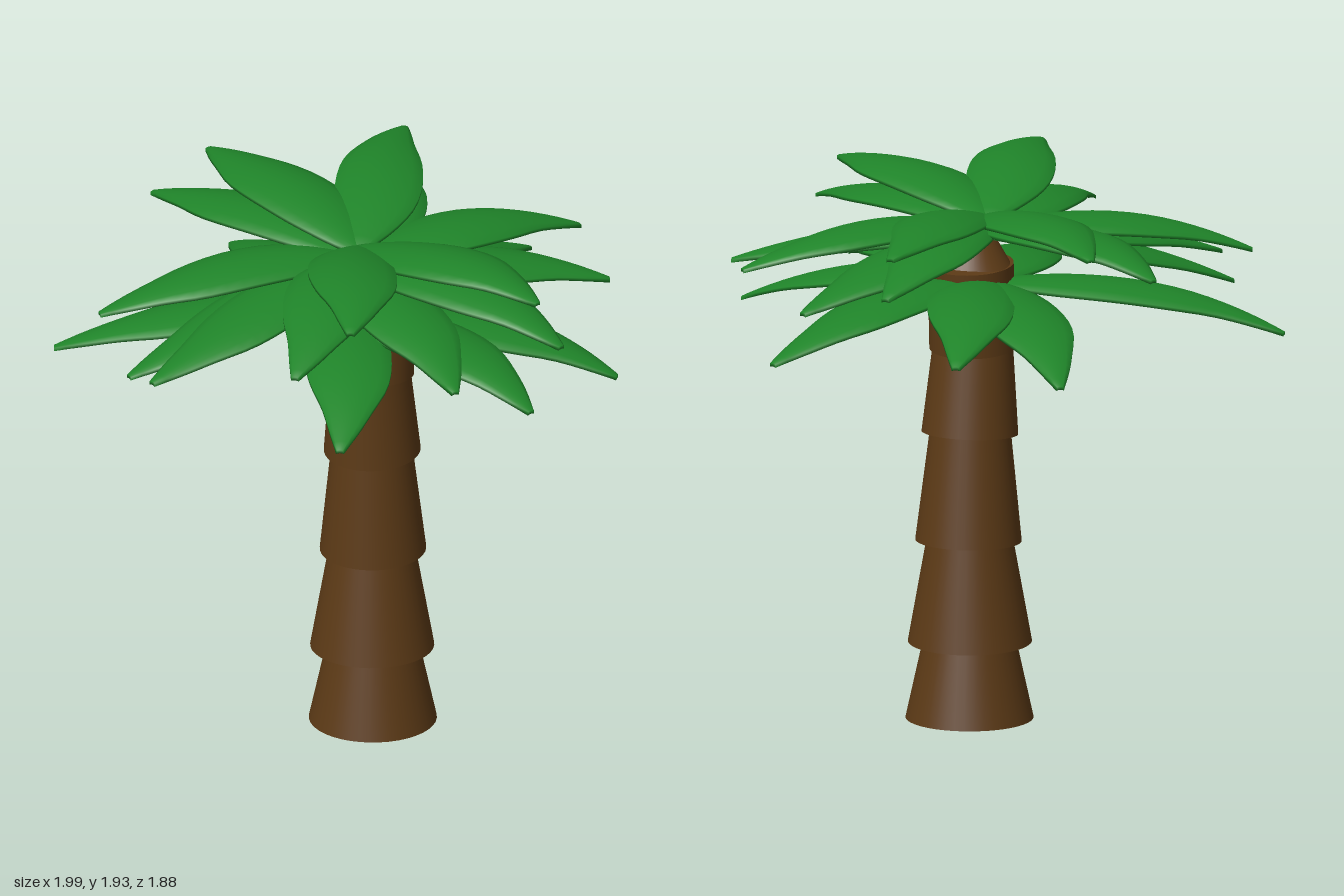
import * as THREE from 'three';

const bark = new THREE.MeshStandardMaterial({ color: 0x5c3a16 });
const green = new THREE.MeshStandardMaterial({ color: 0x1f8429, side: THREE.DoubleSide });

// Tapered trunk piece running between two centres
function trunkPiece(name, a, b, rBottom, rTop) {
  const from = new THREE.Vector3(...a), to = new THREE.Vector3(...b);
  const axis = to.clone().sub(from);
  const mesh = new THREE.Mesh(new THREE.CylinderGeometry(rTop, rBottom, axis.length(), 40), bark);
  mesh.position.copy(from).add(to).multiplyScalar(0.5);
  mesh.quaternion.setFromUnitVectors(new THREE.Vector3(0, 1, 0), axis.normalize());
  mesh.name = name;
  return mesh;
}

// Half width of a frond along its length
const outline = new THREE.CatmullRomCurve3([
  [0, 0.04], [0.13, 0.1], [0.28, 0.143], [0.46, 0.155], [0.63, 0.137], [0.78, 0.09], [0.9, 0.052], [1, 0.014],
].map(([t, w]) => new THREE.Vector3(t, w, 0)));

// Arched frond with drooping edges, a thin closed shell swept from root to tip
function frond(root, tip, arch) {
  const rows = 18, cols = 8, ring = 2 * (cols + 1), thick = 0.012;
  const along = new THREE.Vector3(tip.x - root.x, 0, tip.z - root.z).normalize();
  const side = new THREE.Vector3(-along.z, 0, along.x);
  const pos = [], index = [];
  for (let i = 0; i <= rows; i++) {
    const p = outline.getPoint(i / rows), t = p.x;
    const mid = root.clone().lerp(tip, t);
    mid.y += 4 * arch * t * (1 - t);
    mid.addScaledVector(side, 0.015 * Math.sin(t * Math.PI * 2));
    for (let k = 0; k < ring; k++) {
      const under = k > cols;
      const s = (under ? ring - 1 - k : k) / cols * 2 - 1;
      const v = mid.clone().addScaledVector(side, s * p.y);
      v.y -= 0.22 * p.y * s * s + (under ? thick : 0);
      pos.push(v.x, v.y, v.z);
    }
  }
  for (let i = 0; i < rows; i++) {
    for (let k = 0; k < ring; k++) {
      const a = i * ring + k, b = i * ring + (k + 1) % ring;
      index.push(a, b, a + ring, b, b + ring, a + ring);
    }
  }
  // Close the root and the tip
  for (let k = 0; k < cols; k++) {
    const a = k, b = k + 1, c = ring - 2 - k, d = ring - 1 - k, o = rows * ring;
    index.push(a, d, b, b, d, c, a + o, b + o, d + o, b + o, c + o, d + o);
  }
  const g = new THREE.BufferGeometry();
  g.setAttribute('position', new THREE.Float32BufferAttribute(pos, 3));
  g.setIndex(index);
  g.computeVertexNormals();
  return g;
}

export function createModel() {
  const model = new THREE.Group();
  model.name = 'palmTree';

  // Stacked trunk pieces: bottom centre, top centre, bottom radius, top radius
  const trunk = new THREE.Group();
  trunk.name = 'trunk';
  [
    [[0.095, 0, -0.016], [0.095, 0.3, -0.016], 0.226, 0.16],
    [[0.092, 0.278, -0.02], [0.09, 0.67, -0.026], 0.219, 0.149],
    [[0.092, 0.645, -0.033], [0.09, 1.06, -0.02], 0.188, 0.141],
    [[0.092, 1.032, -0.02], [0.09, 1.365, 0.005], 0.171, 0.14],
    [[0.09, 1.338, 0.005], [0.09, 1.645, -0.018], 0.155, 0.152],
    [[0.09, 1.635, -0.017], [0.088, 1.79, 0.0], 0.152, 0.05],
  ].forEach((p, i) => trunk.add(trunkPiece('trunkSegment' + (i + 1), ...p)));
  model.add(trunk);

  // Frond tips [x, y, z] by layer, from the lowest upwards
  const layers = [
    { name: 'lowestFrond', root: 1.585, arch: 0.085, tips: [
      [0.99, 1.43, 0.05], [0.79, 1.5, 0.57], [0.18, 1.45, 0.935], [-1.0, 1.44, 0.24],
      [-0.58, 1.43, -0.8], [-0.24, 1.5, -0.94], [0.46, 1.45, -0.94]] },
    { name: 'lowerFrond', root: 1.76, arch: 0.055, tips: [
      [0.40, 1.61, -0.81], [0.89, 1.65, -0.29], [0.56, 1.64, 0.77], [-0.65, 1.52, 0.61], [-0.53, 1.58, 0.78]] },
    { name: 'upperFrond', root: 1.785, arch: 0.08, tips: [
      [0.05, 1.71, -0.89], [0.71, 1.7, -0.62], [0.88, 1.72, 0.48], [0.01, 1.7, 0.9],
      [-0.79, 1.68, 0.45], [-0.79, 1.76, -0.45]] },
    { name: 'topFrond', root: 1.82, arch: 0.075, tips: [
      [0.01, 1.87, -0.94], [0.79, 1.87, 0.46], [0.21, 1.89, 0.9], [-0.63, 1.86, -0.64]] },
  ];
  const crown = new THREE.Group();
  crown.name = 'crown';
  for (const { name, root, arch, tips } of layers) {
    tips.forEach((tip, i) => {
      const end = new THREE.Vector3(...tip);
      const start = new THREE.Vector3(0.04, root, 0);
      const mesh = new THREE.Mesh(frond(start, end, arch), green);
      mesh.name = name + (i + 1);
      crown.add(mesh);
    });
  }
  model.add(crown);
  return model;
}
